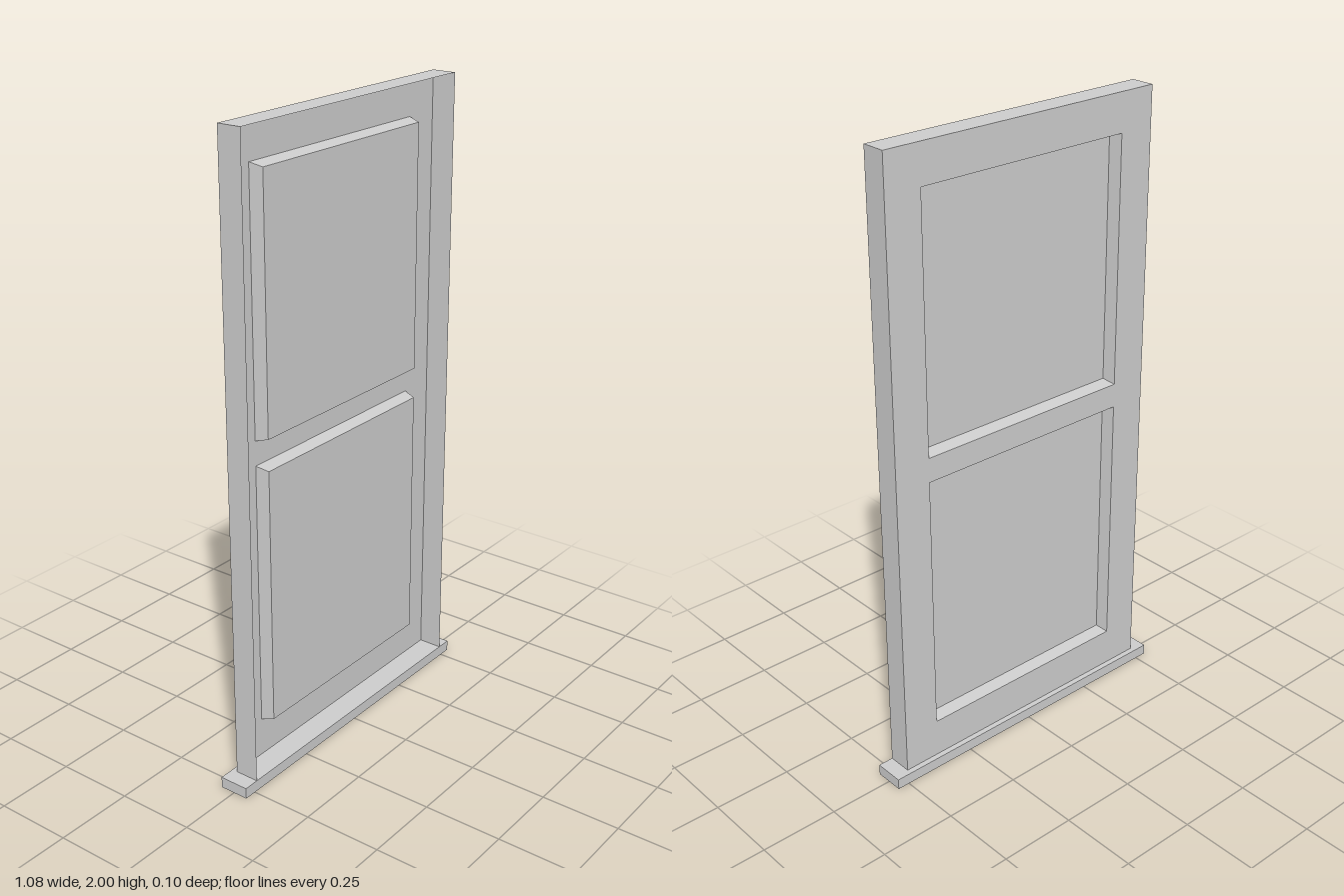
import * as THREE from 'three';

const WIDTH = 0.98, TOP = 2, SILL_H = 0.035;
const BACK = -0.03, FRONT = 0.048;
const PANEL_HALF = 0.37, RECESS = 0.04, TAPER = 0.01;
const PANELS = [
  { name: 'lowerPanel', y0: 0.16, y1: 1.003 },
  { name: 'upperPanel', y0: 1.081, y1: 1.878 },
];

// Box keeping only its first few faces (order: +x, -x, +y, -y, +z, -z)
function openBox(w, h, d, faces) {
  const g = new THREE.BoxGeometry(w, h, d);
  g.setIndex(Array.from(g.index.array).slice(0, faces * 6));
  g.clearGroups();
  return g;
}

export function createModel() {
  const model = new THREE.Group();
  model.name = 'framedPanel';
  const grey = new THREE.MeshStandardMaterial({ color: 0xcccccc, side: THREE.DoubleSide });
  grey.name = 'lightGrey';

  function add(name, geometry, x, y, z) {
    const mesh = new THREE.Mesh(geometry, grey);
    mesh.name = name;
    mesh.position.set(x, y, z);
    model.add(mesh);
  }

  // Sill
  add('sill', new THREE.BoxGeometry(1.08, SILL_H, 0.096), 0, SILL_H / 2, 0);

  // Thin side walls and top, open at the front
  const h = TOP - SILL_H;
  add('outerFrame', openBox(WIDTH, h, FRONT - BACK, 3), 0, SILL_H + h / 2, (FRONT + BACK) / 2);

  // Back sheet with an opening for each panel
  const sheet = new THREE.Shape();
  sheet.moveTo(-WIDTH / 2, SILL_H).lineTo(WIDTH / 2, SILL_H)
    .lineTo(WIDTH / 2, TOP).lineTo(-WIDTH / 2, TOP).closePath();
  for (const { y0, y1 } of PANELS) {
    const hole = new THREE.Path();
    hole.moveTo(-PANEL_HALF, y0).lineTo(-PANEL_HALF, y1)
      .lineTo(PANEL_HALF, y1).lineTo(PANEL_HALF, y0).closePath();
    sheet.holes.push(hole);
  }
  add('backSheet', new THREE.ShapeGeometry(sheet), 0, 0, BACK);

  // Pressed panels: tapered trays, open at the back
  for (const { name, y0, y1 } of PANELS) {
    const g = openBox(PANEL_HALF * 2, y1 - y0, RECESS, 5);
    const p = g.attributes.position;
    for (let i = 0; i < p.count; i++) {
      if (p.getZ(i) < 0) continue;
      p.setX(i, p.getX(i) - Math.sign(p.getX(i)) * TAPER);
      p.setY(i, p.getY(i) - Math.sign(p.getY(i)) * TAPER);
    }
    g.computeVertexNormals();
    add(name, g, 0, (y0 + y1) / 2, BACK + RECESS / 2);
  }
  return model;
}
